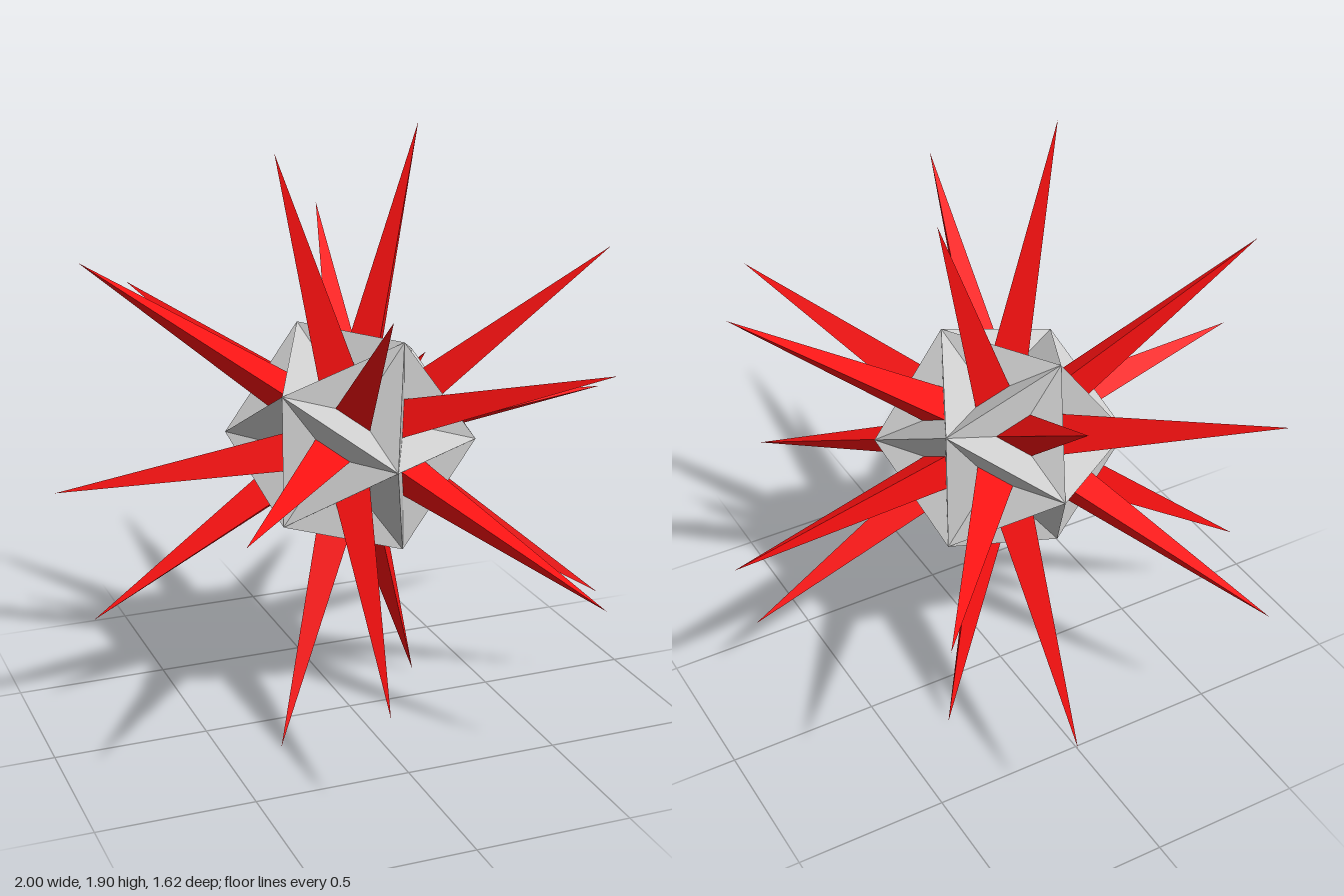
import * as THREE from 'three';

const BODY = 0.4;                       // radius of the body's 12 points
const TIP = 1.018;                      // radius of the 20 spike tips
const DIMPLE = BODY * 0.5628;           // radius of the bottom of each dimple
const SPREAD = 0.3;                     // how far up the valleys a spike's base reaches
const CENTRE_Y = Math.sin(Math.PI * 0.4);

// Twelve points of an icosahedron with one axis along z
function bodyPoints() {
  const points = [new THREE.Vector3(0, 0, BODY), new THREE.Vector3(0, 0, -BODY)];
  const z = BODY / Math.sqrt(5);
  for (let i = 0; i < 10; i++) {
    const a = (i * Math.PI) / 5;
    points.push(new THREE.Vector3(2 * z * Math.cos(a), 2 * z * Math.sin(a), i % 2 ? -z : z));
  }
  return points;
}

// Every triangle of neighbouring points, wound outward
function bodyFaces(p) {
  const near = (a, b) => a.dot(b) > 0.1 * BODY * BODY;
  const faces = [];
  for (let i = 0; i < 12; i++) for (let j = i + 1; j < 12; j++) for (let k = j + 1; k < 12; k++) {
    const [a, b, c] = [p[i], p[j], p[k]];
    if (!near(a, b) || !near(b, c) || !near(a, c)) continue;
    const outward = a.clone().cross(b).dot(c) > 0;
    faces.push(outward ? [a, b, c] : [a, c, b]);
  }
  return faces;
}

// Three flat sides joining a triangle's edges to an apex
function pyramid([a, b, c], apex) {
  return [a, b, apex, b, c, apex, c, a, apex];
}

function facetedMesh(name, points, material) {
  const geometry = new THREE.BufferGeometry().setFromPoints(points);
  geometry.computeVertexNormals();
  const mesh = new THREE.Mesh(geometry, material);
  mesh.name = name;
  return mesh;
}

export function createModel() {
  const model = new THREE.Group();
  model.name = 'spikedStar';
  const grey = new THREE.MeshStandardMaterial({ color: 0xcccccc, flatShading: true });
  const red = new THREE.MeshStandardMaterial({ color: 0xff1111, flatShading: true });

  const bodySides = [];
  const spikes = new THREE.Group();
  spikes.name = 'spikes';
  for (const face of bodyFaces(bodyPoints())) {
    const axis = new THREE.Vector3().add(face[0]).add(face[1]).add(face[2]).normalize();
    const dimple = axis.clone().multiplyScalar(DIMPLE);
    bodySides.push(...pyramid(face, dimple));

    // Spike rising from the dimple, its edges starting in the three valleys
    const base = face.map((v) => dimple.clone().lerp(v, SPREAD));
    spikes.add(facetedMesh('spike', pyramid(base, axis.clone().multiplyScalar(TIP)), red));
  }

  model.add(facetedMesh('dimpledBody', bodySides, grey), spikes);
  for (const part of model.children) part.position.y = CENTRE_Y;
  return model;
}
